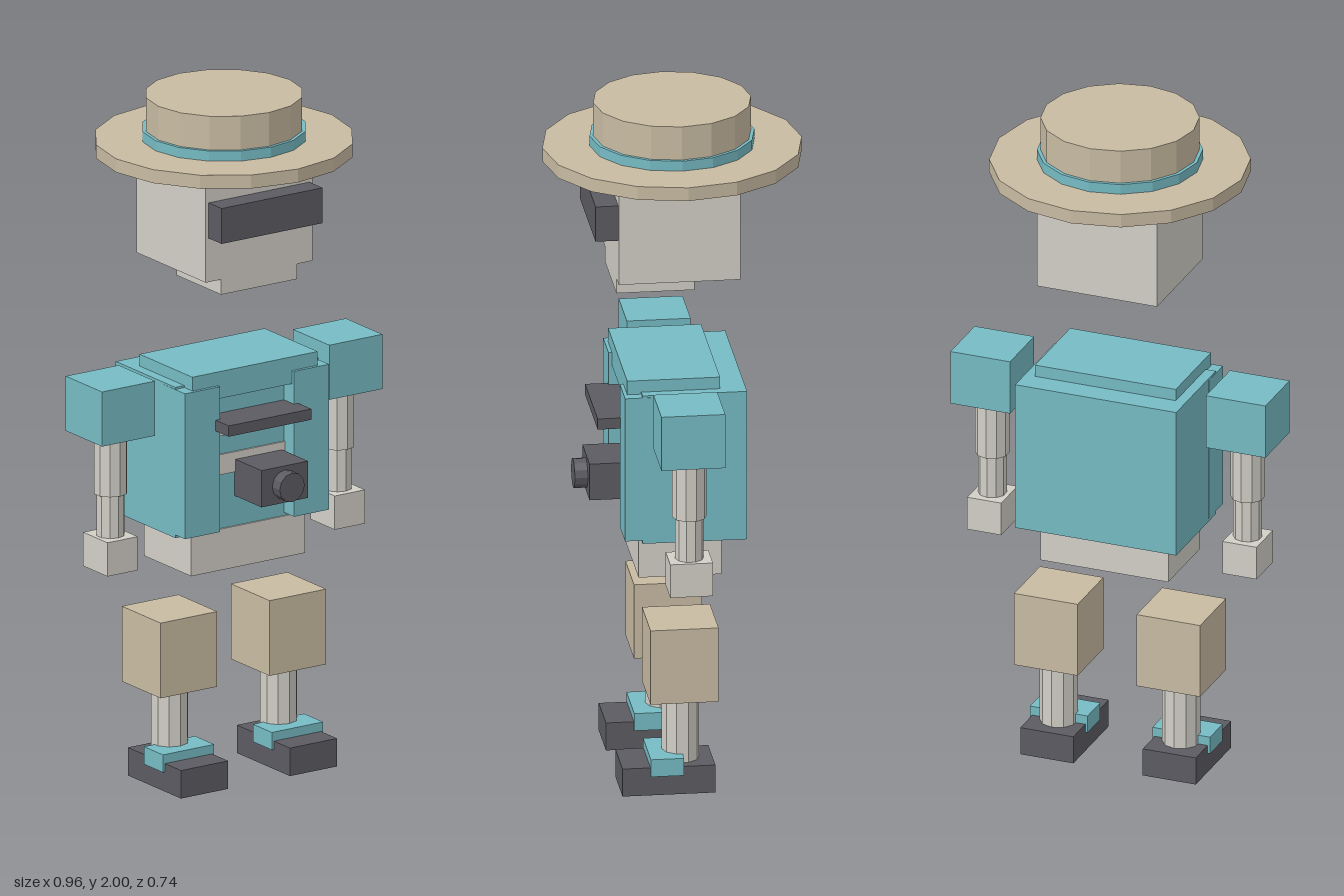
import * as THREE from 'three';

const mat = (color) => new THREE.MeshStandardMaterial({ color, flatShading: true });

export function createModel() {
  const model = new THREE.Group();
  const teal = mat(0x76bbc4), tan = mat(0xc8bba2), cream = mat(0xd2cfc7), dark = mat(0x5c5b62);

  // Box from its min and max along each axis
  function box(name, m, [x0, x1], [y0, y1], [z0, z1]) {
    const mesh = new THREE.Mesh(new THREE.BoxGeometry(x1 - x0, y1 - y0, z1 - z0), m);
    mesh.position.set((x0 + x1) / 2, (y0 + y1) / 2, (z0 + z1) / 2);
    mesh.name = name;
    model.add(mesh);
    return mesh;
  }
  // Upright faceted cylinder
  function cyl(name, m, r, [y0, y1], x = 0, sides = 16) {
    const mesh = new THREE.Mesh(new THREE.CylinderGeometry(r, r, y1 - y0, sides), m);
    mesh.position.set(x, (y0 + y1) / 2, 0);
    mesh.name = name;
    model.add(mesh);
    return mesh;
  }
  const around = (c, w) => [c - w / 2, c + w / 2];

  // Hat
  cyl('hatBrim', tan, 0.37, [1.83, 1.87]);
  cyl('hatBand', teal, 0.235, [1.865, 1.9]);
  cyl('hatCrown', tan, 0.225, [1.87, 2]);

  // Head
  box('head', cream, [-0.183, 0.183], [1.515, 1.835], [-0.172, 0.175]);
  box('jaw', cream, [-0.13, 0.13], [1.47, 1.516], [-0.048, 0.175]);
  box('visor', dark, [-0.173, 0.173], [1.645, 1.75], [0.17, 0.24]);

  // Torso: body, jacket fronts, collar and shirt stripes
  box('body', teal, [-0.246, 0.246], [0.753, 1.2], [-0.183, 0.115]);
  box('collar', teal, [-0.215, 0.215], [1.155, 1.235], [-0.11, 0.155]);
  box('shirtStripeUpper', cream, [-0.127, 0.127], [1.03, 1.09], [0.1, 0.12]);
  box('shirtStripeLower', cream, [-0.127, 0.127], [0.915, 0.975], [0.1, 0.12]);
  box('strapBar', dark, [-0.142, 0.142], [1.065, 1.097], [0.11, 0.23]);
  box('pelvis', cream, [-0.195, 0.195], [0.632, 0.754], [-0.117, 0.12]);

  // Chest camera
  box('cameraBody', dark, [-0.043, 0.117], [0.843, 0.952], [0.11, 0.25]);
  const lens = cyl('cameraLens', dark, 0.043, [0, 0.045], 0, 12);
  lens.rotation.x = Math.PI / 2;
  lens.position.set(0.037, 0.897, 0.2645);

  // Mirrored parts
  for (const [s, side] of [[1, 'left'], [-1, 'right']]) {
    box(side + 'JacketFront', teal, around(s * 0.187, 0.12), [0.763, 1.194], [0.06, 0.165]);

    const ax = s * 0.39;
    box(side + 'Sleeve', teal, around(ax, 0.182), [1.06, 1.222], [-0.091, 0.091]);
    cyl(side + 'UpperArm', cream, 0.049, [0.885, 1.065], ax, 10);
    cyl(side + 'Forearm', cream, 0.041, [0.755, 0.886], ax, 10);
    box(side + 'Hand', cream, around(ax, 0.104), [0.66, 0.76], [-0.061, 0.061]);

    const lx = s * 0.187;
    box(side + 'ShortsLeg', tan, around(lx, 0.194), [0.28, 0.503], [-0.097, 0.097]);
    cyl(side + 'Shin', cream, 0.054, [0.07, 0.285], lx, 10);
    box(side + 'Sock', teal, around(lx, 0.176), [0.058, 0.11], [0, 0.095]);
    box(side + 'Shoe', dark, around(lx, 0.162), [0, 0.083], [-0.09, 0.175]);
  }
  return model;
}
